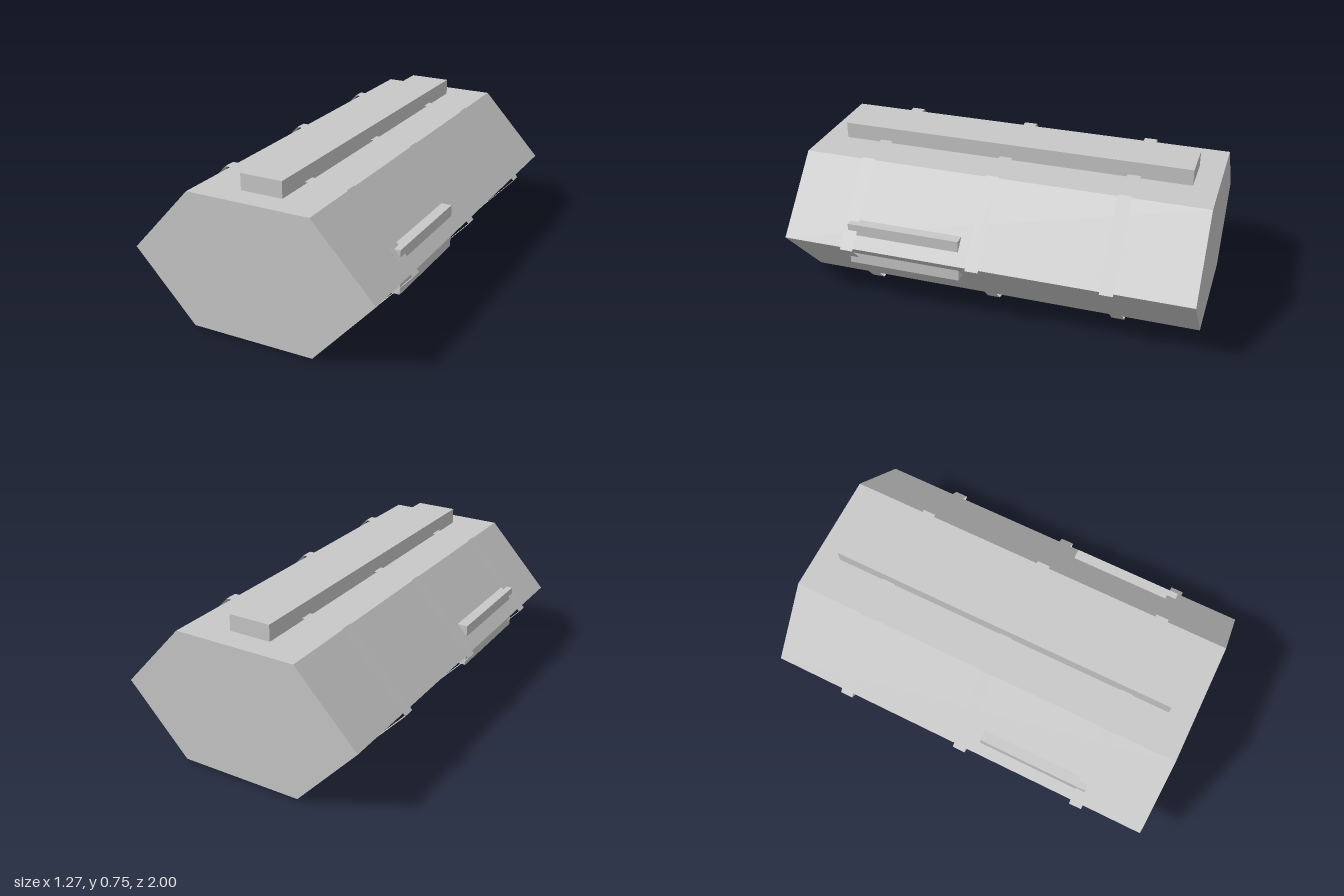
import * as THREE from 'three';

const MID = 0.341; // height of the hexagon's side edges

// Hexagonal outline, counter-clockwise seen from the front
const hexagon = (side, corner, half) => [
  [side, MID], [corner, MID + half], [-corner, MID + half],
  [-side, MID], [-corner, MID - half], [corner, MID - half],
];

// Open strip following an outline around the z axis
function stripGeometry(points, z0, z1) {
  const pos = [];
  points.forEach(([ax, ay], i) => {
    const [bx, by] = points[(i + 1) % points.length];
    pos.push(ax, ay, z1, ax, ay, z0, bx, by, z0);
    pos.push(ax, ay, z1, bx, by, z0, bx, by, z1);
  });
  const geo = new THREE.BufferGeometry();
  geo.setAttribute('position', new THREE.Float32BufferAttribute(pos, 3));
  geo.computeVertexNormals();
  return geo;
}

export function createModel() {
  const group = new THREE.Group();
  const grey = new THREE.MeshStandardMaterial({ color: 0xc8c8c8 });
  grey.name = 'light grey';
  const greyStrip = new THREE.MeshStandardMaterial({ color: 0xc8c8c8, side: THREE.DoubleSide });
  greyStrip.name = 'light grey strip';

  const add = (name, geometry, material = grey, x = 0, y = 0, z = 0) => {
    const mesh = new THREE.Mesh(geometry, material);
    mesh.name = name;
    mesh.position.set(x, y, z);
    group.add(mesh);
  };

  // Hexagonal body, lying along z
  const outline = new THREE.Shape(hexagon(0.612, 0.307, 0.329).map(([x, y]) => new THREE.Vector2(x, y)));
  add('body', new THREE.ExtrudeGeometry(outline, { depth: 2, bevelEnabled: false }), grey, 0, 0, -1);

  // Thin straps wrapped round the body, open at their edges
  const strap = hexagon(0.633, 0.315, 0.341);
  for (const z of [0.665, 0.032, -0.603]) add('strap', stripGeometry(strap, z - 0.032, z + 0.032), greyStrip);

  // Raised bar along the top
  add('topBar', new THREE.BoxGeometry(0.21, 0.1, 1.76), grey, 0, 0.7, 0);

  // Side blocks, with the body's side edge breaking through their middle
  for (const s of [1, -1]) {
    add(s > 0 ? 'leftBlock' : 'rightBlock', new THREE.BoxGeometry(0.115, 0.213, 0.56), grey, s * 0.5075, MID, 0.4);
  }
  return group;
}
